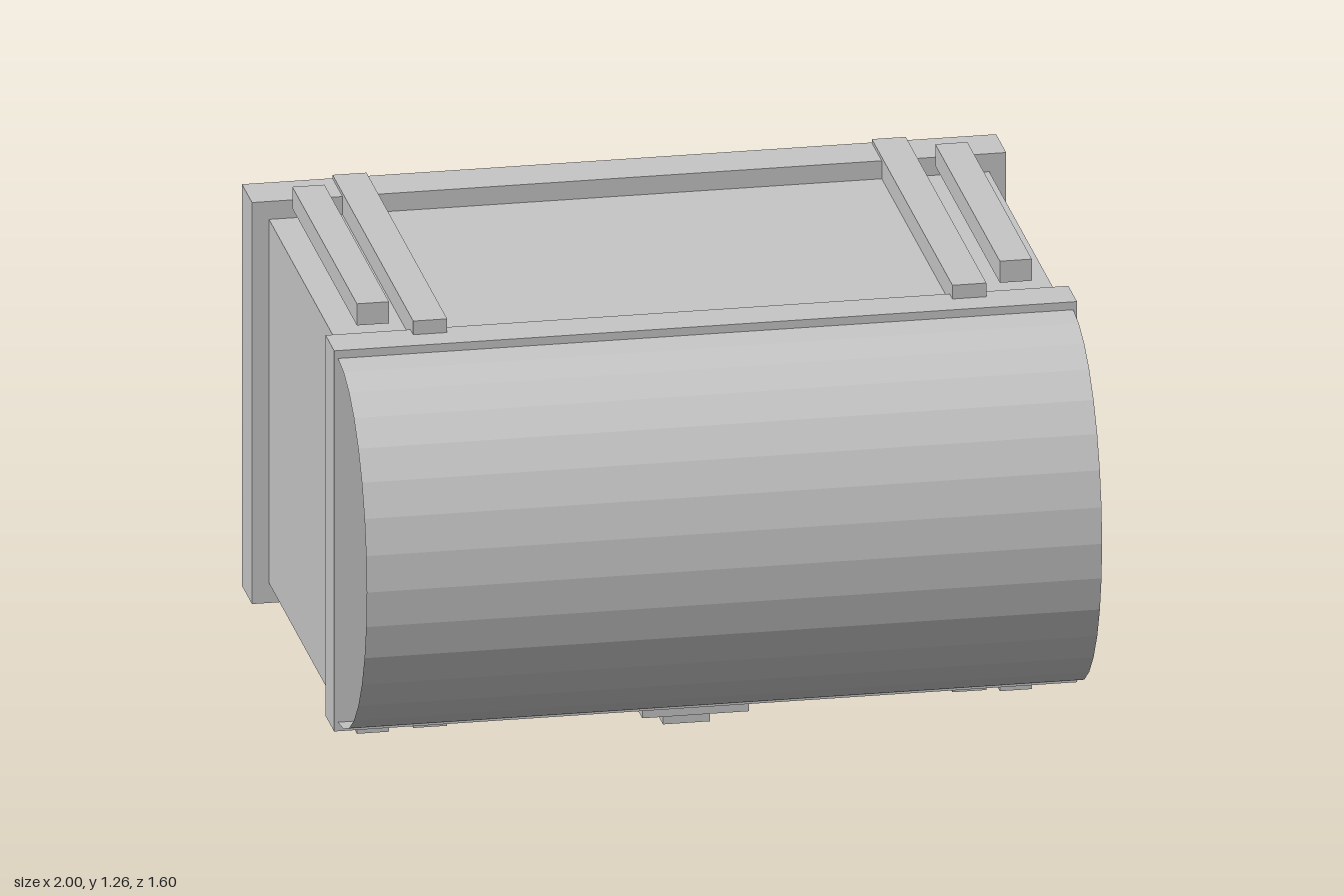
import * as THREE from 'three';

export function createModel() {
  const model = new THREE.Group();
  model.name = 'case';
  const grey = new THREE.MeshStandardMaterial({ color: 0xc6c6c6, flatShading: true, side: THREE.DoubleSide });
  grey.name = 'light grey';

  // Box given by its limits along each axis
  function block(name, x0, x1, y0, y1, z0, z1) {
    const geo = new THREE.BoxGeometry(x1 - x0, y1 - y0, z1 - z0);
    geo.translate((x0 + x1) / 2, (y0 + y1) / 2, (z0 + z1) / 2);
    const mesh = new THREE.Mesh(geo, grey);
    mesh.name = name;
    model.add(mesh);
  }
  // The same box on the left and the right
  function pair(name, x0, x1, ...rest) {
    block(name + 'Left', x0, x1, ...rest);
    block(name + 'Right', -x1, -x0, ...rest);
  }

  // Main body with its rear panel and front frame
  block('body', -0.955, 0.955, 0.16, 1.17, -0.67, 0.29);
  block('rearPanel', -1, 1, 0.105, 1.22, -0.8, -0.66);
  block('frontFrame', -0.985, 0.985, 0.135, 1.192, 0.28, 0.4);

  // Curved front shell, open at both ends
  const curve = new THREE.CylinderGeometry(1, 1, 1.95, 16, 1, true, -Math.PI / 2, Math.PI);
  curve.rotateZ(Math.PI / 2);
  curve.scale(1, 0.505, 0.4);
  curve.translate(0, 0.665, 0.4);
  const shell = new THREE.Mesh(curve, grey);
  shell.name = 'curvedFront';
  model.add(shell);

  // Rails on the top and underneath
  pair('topInnerRail', 0.67, 0.76, 1.165, 1.23, -0.798, 0.32);
  pair('topOuterRail', 0.81, 0.895, 1.2, 1.26, -0.65, 0.245);
  pair('bottomInnerRail', 0.67, 0.76, 0.1, 0.165, -0.798, 0.32);
  pair('bottomOuterRail', 0.81, 0.895, 0.066, 0.127, -0.65, 0.245);

  // Three feet under each outer rail
  for (const z of [0.07, -0.228, -0.524]) {
    pair('foot', 0.795, 0.865, 0.037, 0.075, z - 0.037, z + 0.037);
  }

  // Thin ribs under the body
  for (let i = 0; i < 5; i++) {
    const x = 0.61 - i * 0.315;
    block('rib', x - 0.01, x + 0.01, 0.14, 0.165, -0.48, 0.12);
  }

  // Stepped mount in the middle of the underside
  block('mount', -0.143, 0.14, 0.066, 0.165, -0.13, 0.27);
  block('mountFoot', -0.065, 0.06, 0, 0.07, -0.035, 0.15);
  return model;
}
